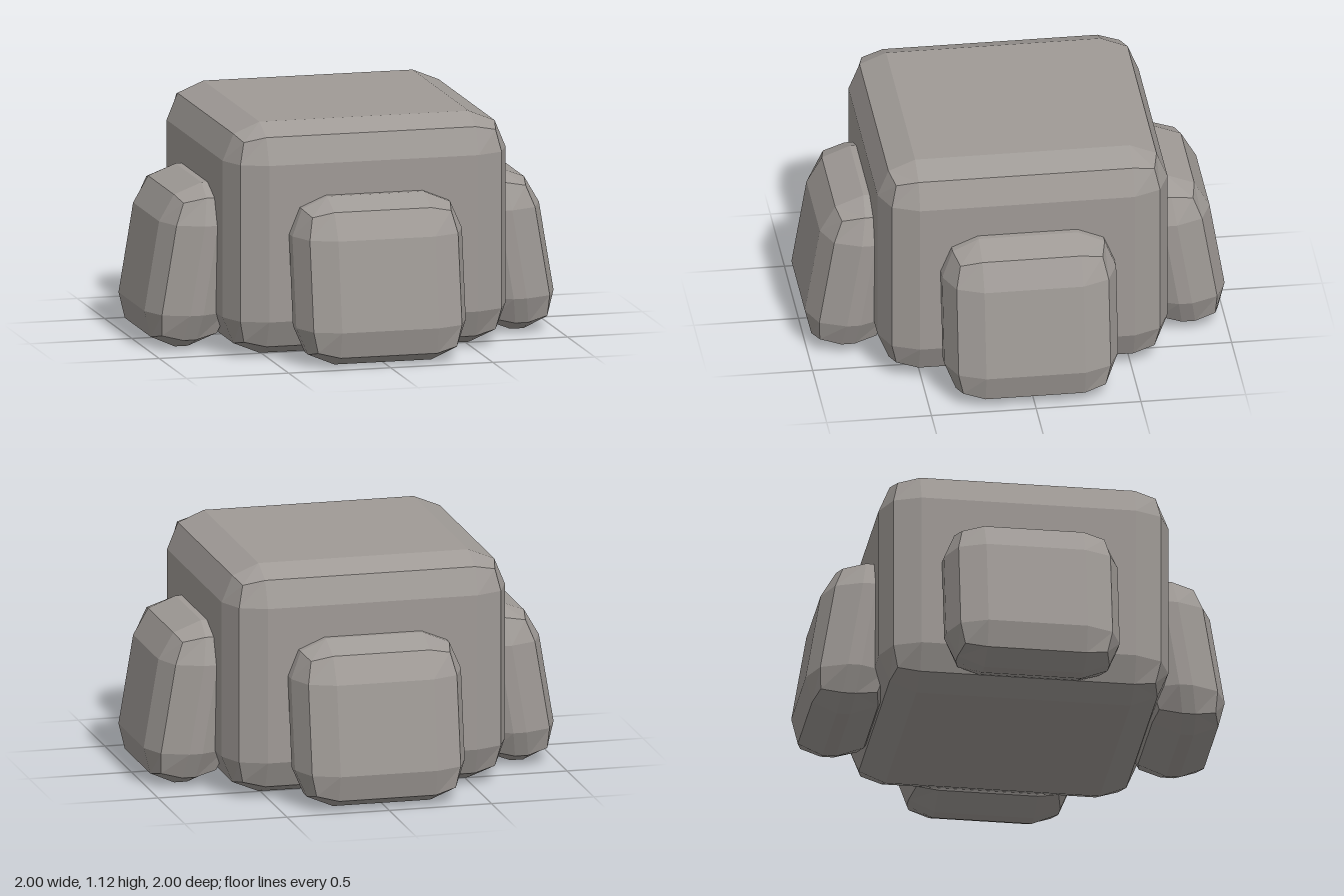
import * as THREE from 'three';
import { RoundedBoxGeometry } from 'three/addons/geometries/RoundedBoxGeometry.js';

const LEAN = 0.167; // inward shift per unit of height

// Box with faceted two-step bevels, standing on y = bottom
function bevelBox(width, height, depth, radius, bottom) {
  const geometry = new RoundedBoxGeometry(width, height, depth, 1, radius);
  geometry.translate(0, bottom + height / 2, 0);
  return geometry;
}

// One leg on the +z side, sheared so that it leans towards the body
function legGeometry() {
  const height = 0.785;
  const geometry = bevelBox(0.83, height, 0.42, 0.178, 0);
  const p = geometry.attributes.position;
  for (let i = 0; i < p.count; i++) {
    p.setZ(i, p.getZ(i) + 0.756 - LEAN * (p.getY(i) - height / 2));
  }
  geometry.computeVertexNormals();
  return geometry;
}

export function createModel() {
  const model = new THREE.Group();
  model.name = 'blockCreature';
  const stone = new THREE.MeshStandardMaterial({ color: 0x9f9a96, flatShading: true });
  stone.name = 'warmGrey';

  // Main block
  const body = new THREE.Mesh(bevelBox(1.385, 1.115, 1.385, 0.18, 0.005), stone);
  body.name = 'body';
  model.add(body);

  // Four identical legs around the block
  const leg = legGeometry();
  ['frontLeg', 'leftLeg', 'backLeg', 'rightLeg'].forEach((name, i) => {
    const mesh = new THREE.Mesh(leg, stone);
    mesh.name = name;
    mesh.rotation.y = (i * Math.PI) / 2;
    model.add(mesh);
  });

  return model;
}
